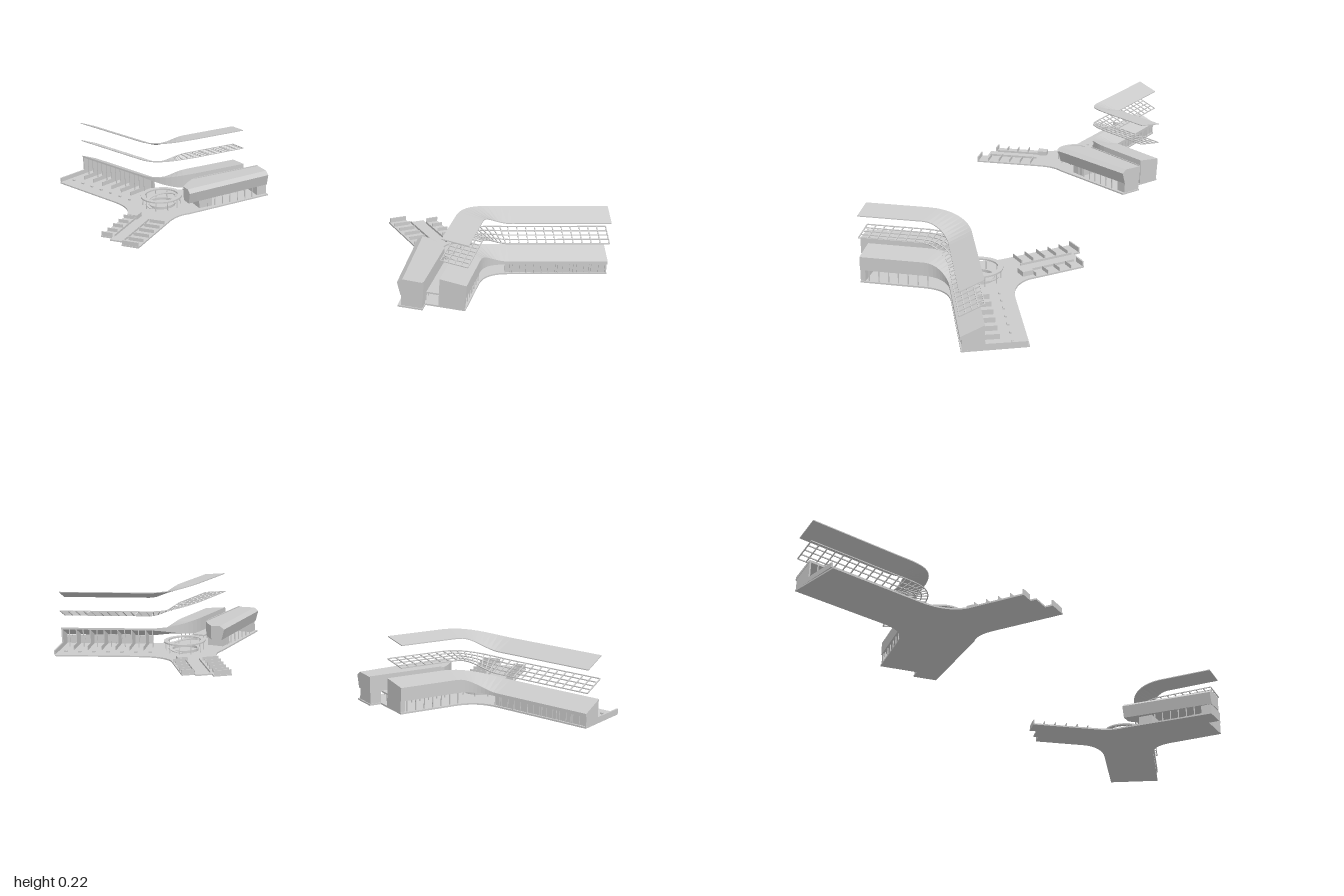
import * as THREE from 'three';
import { mergeGeometries } from 'three/addons/utils/BufferGeometryUtils.js';

const grey = new THREE.MeshStandardMaterial({ color: 0xcccccc, flatShading: true, side: THREE.DoubleSide });
const rad = THREE.MathUtils.degToRad, mix = THREE.MathUtils.lerp;
const WEST = 170, EAST = 60, SOUTH = 280; // headings of the three wings

// Plan point of a wing: u along the wing, v across it
const plan = (deg, u, v) => {
  const a = rad(deg);
  return new THREE.Vector2(u * Math.cos(a) + v * Math.sin(a), u * Math.sin(a) - v * Math.cos(a));
};
const add = (parent, name, geo) => {
  const m = new THREE.Mesh(geo, grey);
  m.name = name;
  parent.add(m);
  return m;
};
// Box given by its limits in wing coordinates
const box = (parent, name, u0, u1, y0, y1, v0, v1) =>
  add(parent, name, new THREE.BoxGeometry(u1 - u0, y1 - y0, v1 - v0))
    .position.set((u0 + u1) / 2, (y0 + y1) / 2, (v0 + v1) / 2);

const wing = (parent, name, deg) => {
  const g = new THREE.Group();
  g.name = name;
  g.rotation.y = rad(deg);
  parent.add(g);
  return g;
};

// Closed skin over a row of equal cross-sections, with end caps
function loft(rings) {
  const n = rings[0].length, idx = [], last = (rings.length - 1) * n;
  for (let i = 0; i < rings.length - 1; i++)
    for (let j = 0; j < n; j++) {
      const a = i * n + j, b = i * n + (j + 1) % n;
      idx.push(a, b, a + n, b, b + n, a + n);
    }
  for (let j = 1; j < n - 1; j++) idx.push(0, j + 1, j, last, last + j, last + j + 1);
  const g = new THREE.BufferGeometry();
  g.setAttribute('position', new THREE.Float32BufferAttribute(rings.flat().flatMap(p => p.toArray()), 3));
  g.setIndex(idx);
  g.computeVertexNormals();
  return g;
}

// Edge of the roof strip running from the west wing round the bend to the east wing
function edge(vWest, vEast, c) {
  const a = plan(WEST, 0.14, vWest), b = plan(EAST, 0.14, vEast);
  const ctrl = plan(WEST, c, vWest).add(plan(EAST, c, vEast)).multiplyScalar(0.5);
  const bend = new THREE.QuadraticBezierCurve(a, ctrl, b), pts = [];
  for (let i = 0; i < 11; i++) pts.push(plan(WEST, mix(0.45, 0.14, i / 11), vWest));
  pts.push(...bend.getPoints(10));
  for (let i = 1; i <= 7; i++) pts.push(plan(EAST, mix(0.14, 0.337, i / 7), vEast));
  return pts;
}
const outer = edge(0.097, -0.093, 0.066), inner = edge(0.03, -0.011, 0.014);
const stations = outer.map((o, i) => {
  const k = THREE.MathUtils.smoothstep(i, 11, 21);
  return { k, at: (f, y) => new THREE.Vector3(mix(o.x, inner[i].x, f), y, -mix(o.y, inner[i].y, f)) };
});
// Height of the roof plane: steep on the west wing, nearly flat on the east wing
const roofY = (k, f) => mix(mix(0.045, 0.075, f), mix(0.082, 0.092, f), k);

function beam(a, b, t) {
  const d = b.clone().sub(a);
  const g = new THREE.BoxGeometry(t, t, d.length());
  g.applyQuaternion(new THREE.Quaternion().setFromUnitVectors(new THREE.Vector3(0, 0, 1), d.normalize()));
  const c = a.clone().add(b).multiplyScalar(0.5);
  return g.translate(c.x, c.y, c.z);
}

function floorPlate() {
  const s = new THREE.Shape();
  const to = (d, u, v) => { const p = plan(d, u, v); s.lineTo(p.x, p.y); };
  const curve = (c, e) => s.quadraticCurveTo(c.x, c.y, e.x, e.y);
  const p = plan(WEST, 0.445, -0.09);
  s.moveTo(p.x, p.y);
  // west wing, inner bend, back along the south wing
  to(WEST, 0.15, -0.09);
  curve(plan(WEST, 0.06, -0.09), plan(SOUTH, 0.13, 0.073));
  [[0.32, 0.073], [0.32, 0.03], [0.338, 0.03], [0.338, -0.025], [0.363, -0.025], [0.363, -0.088], [0.13, -0.09]]
    .forEach(q => to(SOUTH, ...q));
  curve(plan(SOUTH, 0.07, -0.09), plan(EAST, 0.05, 0.122));
  [[0.375, 0.105], [0.375, 0.028], [0.337, 0.028], [0.337, -0.093], [0.14, -0.093]].forEach(q => to(EAST, ...q));
  curve(plan(WEST, 0.066, 0.095), plan(WEST, 0.14, 0.095));
  to(WEST, 0.45, 0.095);
  return new THREE.ExtrudeGeometry(s, { depth: 0.005, bevelEnabled: false, curveSegments: 10 }).rotateX(-Math.PI / 2);
}

function ring(r0, r1, h) {
  const s = new THREE.Shape().absarc(0, 0, r1, 0, Math.PI * 2);
  s.holes.push(new THREE.Path().absarc(0, 0, r0, 0, Math.PI * 2, true));
  return new THREE.ExtrudeGeometry(s, { depth: h, bevelEnabled: false, curveSegments: 20 }).rotateX(-Math.PI / 2);
}

function building(name) {
  const g = new THREE.Group();
  g.name = name;
  add(g, 'floorSlab', floorPlate());

  // Roof body, lifted frame and lifted roof skin
  add(g, 'roofBody', loft(stations.map(({ k, at }) => [
    at(0, mix(0.035, 0.04, k)), at(0, roofY(k, 0)), at(1, roofY(k, 1)), at(1, mix(0.068, 0.04, k))])));
  add(g, 'liftedRoof', loft(stations.map(({ k, at }) => [
    at(0, roofY(k, 0) + 0.128), at(0, roofY(k, 0) + 0.131), at(1, roofY(k, 1) + 0.131), at(1, roofY(k, 1) + 0.128)])));
  const bars = [], node = (i, f) => stations[i].at(f, roofY(stations[i].k, f) + 0.061);
  stations.forEach((_, i) => {
    bars.push(beam(node(i, 0), node(i, 1), 0.003));
    if (i) for (let j = 0; j <= 4; j++) bars.push(beam(node(i - 1, j / 4), node(i, j / 4), 0.003));
  });
  add(g, 'liftedFrame', mergeGeometries(bars));

  // West wing: glazed outer wall, trapezoid cross walls, low partitions
  const w = wing(g, 'westWing', WEST);
  box(w, 'outerGlazing', 0.13, 0.448, 0.005, 0.036, 0.087, 0.089);
  for (let i = 0; i <= 14; i++) {
    const u = mix(0.13, 0.447, i / 14);
    box(w, 'mullion', u - 0.001, u + 0.001, 0.005, 0.036, 0.086, 0.092);
  }
  const wall = new THREE.Shape([[-0.093, 0.005], [-0.093, 0.042], [-0.03, 0.07], [-0.03, 0.005]]
    .map(q => new THREE.Vector2(...q)));
  for (let i = 0; i < 7; i++) {
    const u = 0.444 - i * 0.05, t = i ? 0.003 : 0.005;
    const m = add(w, 'crossWall', new THREE.ExtrudeGeometry(wall, { depth: t, bevelEnabled: false }));
    m.rotation.y = Math.PI / 2;
    m.position.x = u;
    box(w, 'lowPartition', u, u + t, 0.005, 0.02, i ? -0.015 : -0.085, 0.03);
    box(w, 'innerPost', u - 0.025, u - 0.022, 0.005, 0.069, 0.03, 0.033);
    box(w, 'bench', u - 0.032, u - 0.022, 0.005, 0.01, -0.05, -0.044);
  }

  // East wing: raised storey on posts, end piers, side volume with a leaning wall
  const e = wing(g, 'eastWing', EAST);
  box(e, 'middleDeck', 0.09, 0.334, 0.038, 0.043, -0.013, 0.03);
  const side = [[0.05, 0.08, 0.132], [0.08, 0.05, 0.129], [0.11, 0.028, 0.127], [0.375, 0.028, 0.109]];
  add(e, 'sideVolume', loft(side.map(([u, v0, v1]) => [
    [v0, 0.04], [v0, 0.09], [v1 - 0.016, 0.092], [v1, 0.08], [v1 - 0.012, 0.04]]
    .map(([v, y]) => new THREE.Vector3(u, y, v)))));
  box(e, 'roofRib', 0.12, 0.374, 0.09, 0.093, 0.028, 0.031);
  box(e, 'endPier', 0.322, 0.337, 0.005, 0.04, -0.09, -0.011);
  box(e, 'sidePier', 0.335, 0.372, 0.005, 0.04, 0.03, 0.095);
  box(e, 'groundRoom', 0.1, 0.15, 0.005, 0.04, 0.04, 0.1);
  for (let u = 0.13; u < 0.32; u += 0.03)
    for (const v of [-0.088, -0.014, 0.032, 0.1])
      box(e, 'post', u, u + 0.003, 0.005, 0.04, v, v + 0.003);

  // South wing: low cut-off walls only
  const s = wing(g, 'southWing', SOUTH);
  box(s, 'corridorWall', 0.15, 0.33, 0.005, 0.012, -0.022, -0.02);
  box(s, 'corridorWall', 0.15, 0.31, 0.005, 0.012, 0.026, 0.028);
  for (let i = 0; i < 5; i++) {
    const u = 0.16 + i * 0.04;
    box(s, 'roomWall', u, u + 0.002, 0.005, 0.017, -0.086, -0.03);
    box(s, 'roomWall', u - 0.005, u - 0.003, 0.005, 0.017, 0.034, 0.071);
  }
  box(s, 'endWall', 0.358, 0.362, 0.005, 0.02, -0.086, -0.027);
  box(s, 'endWall', 0.315, 0.319, 0.005, 0.02, 0.032, 0.072);
  box(s, 'stairCore', 0.12, 0.155, 0.005, 0.02, 0.02, 0.055);

  // Central hall: gallery ring, inner kerb, posts and curving ramp
  const hall = new THREE.Group();
  hall.name = 'centralHall';
  g.add(hall);
  add(hall, 'galleryRing', ring(0.058, 0.073, 0.005)).position.y = 0.037;
  add(hall, 'innerKerb', ring(0.044, 0.048, 0.009)).position.y = 0.005;
  for (let i = 0; i < 10; i++) {
    const a = i * Math.PI / 5;
    add(hall, 'galleryPost', new THREE.CylinderGeometry(0.0018, 0.0018, 0.033, 6))
      .position.set(0.066 * Math.cos(a), 0.0215, 0.066 * Math.sin(a));
  }
  const ramp = [];
  for (let i = 0; i <= 24; i++) {
    const a = rad(100 + i * 10), y = mix(0.005, 0.038, i / 24);
    ramp.push([[0.048, 0], [0.048, 0.003], [0.058, 0.003], [0.058, 0]]
      .map(([r, h]) => new THREE.Vector3(r * Math.cos(a), y + h, r * Math.sin(a))));
  }
  add(hall, 'ramp', loft(ramp));
  return g;
}

export function createModel() {
  const model = new THREE.Group();
  model.name = 'buildingPair';
  const a = building('leftBuilding'), b = building('turnedBuilding');
  a.position.set(-0.55, 0, 0.013);
  b.position.set(0.56, 0, -0.078);
  b.rotation.y = rad(220);
  model.add(a, b);
  return model;
}
